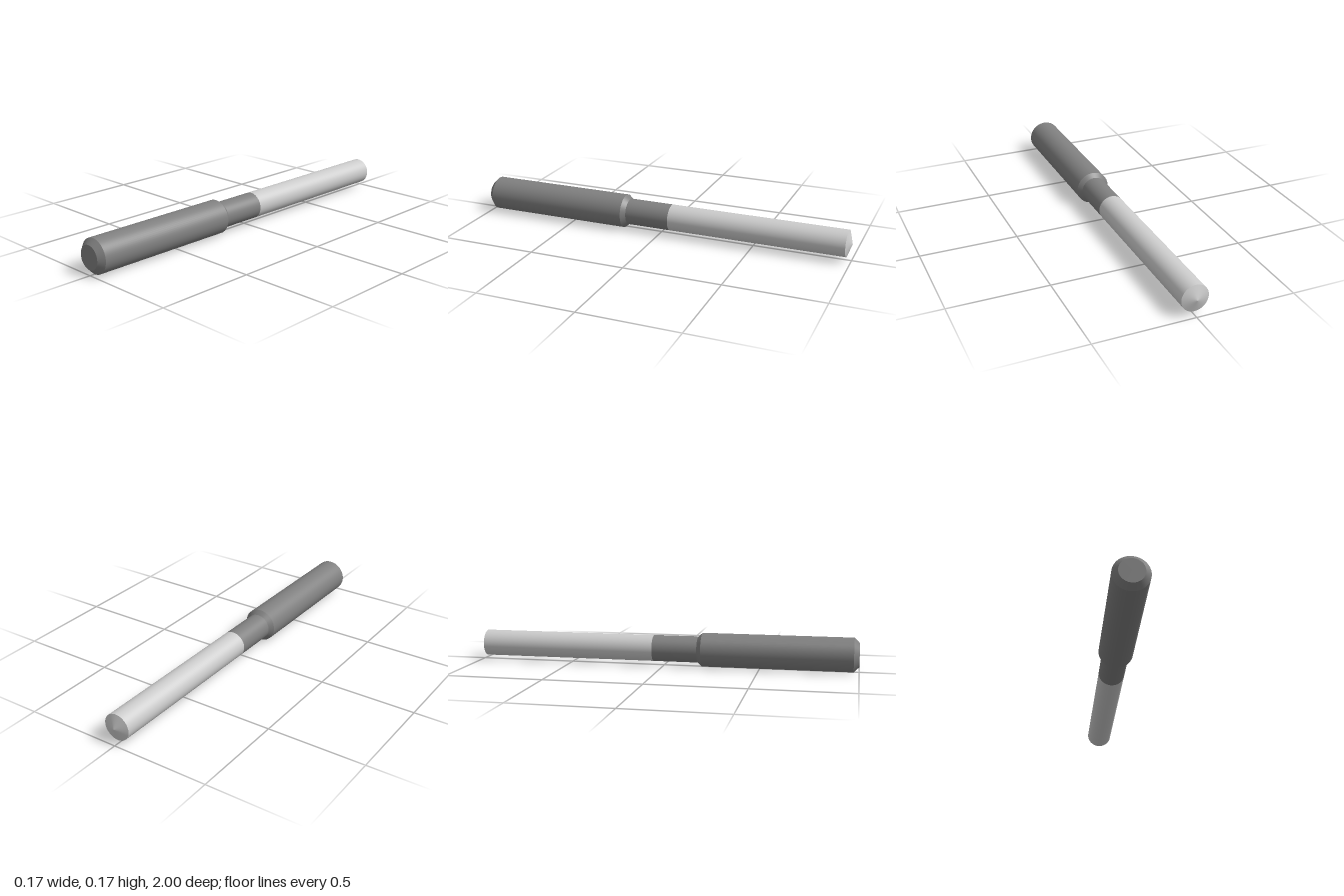
import * as THREE from 'three';
import { mergeGeometries } from 'three/addons/utils/BufferGeometryUtils.js';

const R = 0.0875;      // handle radius
const NECK = 0.068;    // radius of neck and rod

// Solid of revolution along z from [radius, z] points (z ascending), each band with sharp edges
function turned(name, profile, material) {
  const bands = [];
  for (let i = 0; i < profile.length - 1; i++) {
    const pts = [profile[i], profile[i + 1]].map(([r, z]) => new THREE.Vector2(r, z));
    bands.push(new THREE.LatheGeometry(pts, 64));
  }
  const geometry = mergeGeometries(bands);
  geometry.rotateX(Math.PI / 2);
  const mesh = new THREE.Mesh(geometry, material);
  mesh.name = name;
  mesh.position.y = R;
  return mesh;
}

export function createModel() {
  const group = new THREE.Group();
  group.name = 'pin';
  const dark = new THREE.MeshStandardMaterial({ color: 0x808080 });
  const light = new THREE.MeshStandardMaterial({ color: 0xcccccc });

  // Light rod with a shallow conical tip at the back
  group.add(turned('rod', [[0, -1], [NECK, -0.977], [NECK, -0.055]], light));

  // Dark neck between rod and handle
  group.add(turned('neck', [[NECK, -0.055], [NECK, 0.18]], dark));

  // Thick handle: sloped shoulder, straight body, chamfer and flat front end
  group.add(turned('handle', [
    [NECK, 0.18], [R, 0.203], [R, 0.973], [0.0605, 1], [0, 1],
  ], dark));

  return group;
}
